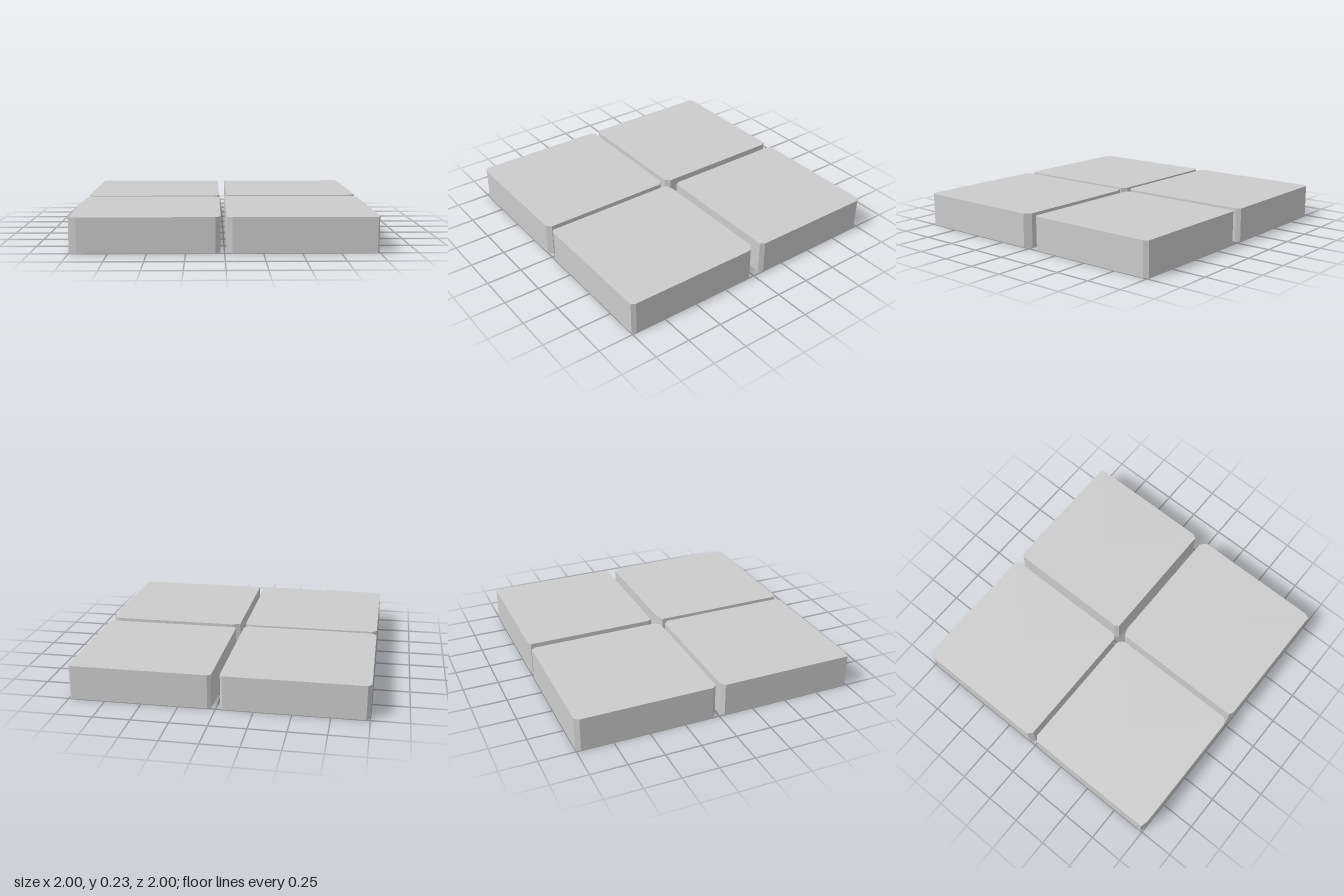
import * as THREE from 'three';

const HEIGHT = 0.235;

// Each tile: bounds, then corner cuts [dx, dz] for back-left-of-plan, back-right, front-right, front-left (min x first)
const TILES = [
  { name: 'backRightTile', x: [-1, -0.025], z: [-1, -0.02],
    cuts: [[0.025, 0.03], [0.02, 0.03], [0.03, 0.03], [0.03, 0.03]] },
  { name: 'backLeftTile', x: [0.03, 1], z: [-1, -0.055],
    cuts: [[0.025, 0.015], [0.02, 0.03], [0.02, 0.03], [0.015, 0.03]] },
  { name: 'frontRightTile', x: [-1, -0.025], z: [0.015, 1],
    cuts: [[0.035, 0.025], [0.035, 0.035], [0.035, 0.03], [0.05, 0.015]] },
  { name: 'frontLeftTile', x: [0.015, 1], z: [0.005, 1],
    cuts: [[0.06, 0.02], [0.04, 0.04], [0.015, 0.03], [0.035, 0.015]] },
];

// Eight-sided outline of a rectangle with its corners cut off
function outline({ x: [x0, x1], z: [z0, z1], cuts: [a, b, c, d] }) {
  return [
    [x0, z0 + a[1]], [x0 + a[0], z0],
    [x1 - b[0], z0], [x1, z0 + b[1]],
    [x1, z1 - c[1]], [x1 - c[0], z1],
    [x0 + d[0], z1], [x0, z1 - d[1]],
  ];
}

// Thin shell: flat top and side walls, open underneath
function tileGeometry(tile) {
  const points = outline(tile);
  const cx = (tile.x[0] + tile.x[1]) / 2;
  const cz = (tile.z[0] + tile.z[1]) / 2;
  const positions = [];
  points.forEach(([ax, az], i) => {
    const [bx, bz] = points[(i + 1) % points.length];
    // top wedge
    positions.push(cx, HEIGHT, cz, bx, HEIGHT, bz, ax, HEIGHT, az);
    // wall
    positions.push(ax, 0, az, ax, HEIGHT, az, bx, HEIGHT, bz);
    positions.push(ax, 0, az, bx, HEIGHT, bz, bx, 0, bz);
  });
  const geometry = new THREE.BufferGeometry();
  geometry.setAttribute('position', new THREE.Float32BufferAttribute(positions, 3));
  geometry.computeVertexNormals();
  return geometry;
}

export function createModel() {
  const group = new THREE.Group();
  group.name = 'floorTiles';
  const material = new THREE.MeshStandardMaterial({
    color: 0xcccccc, flatShading: true, side: THREE.DoubleSide,
  });
  for (const tile of TILES) {
    const mesh = new THREE.Mesh(tileGeometry(tile), material);
    mesh.name = tile.name;
    group.add(mesh);
  }
  return group;
}
